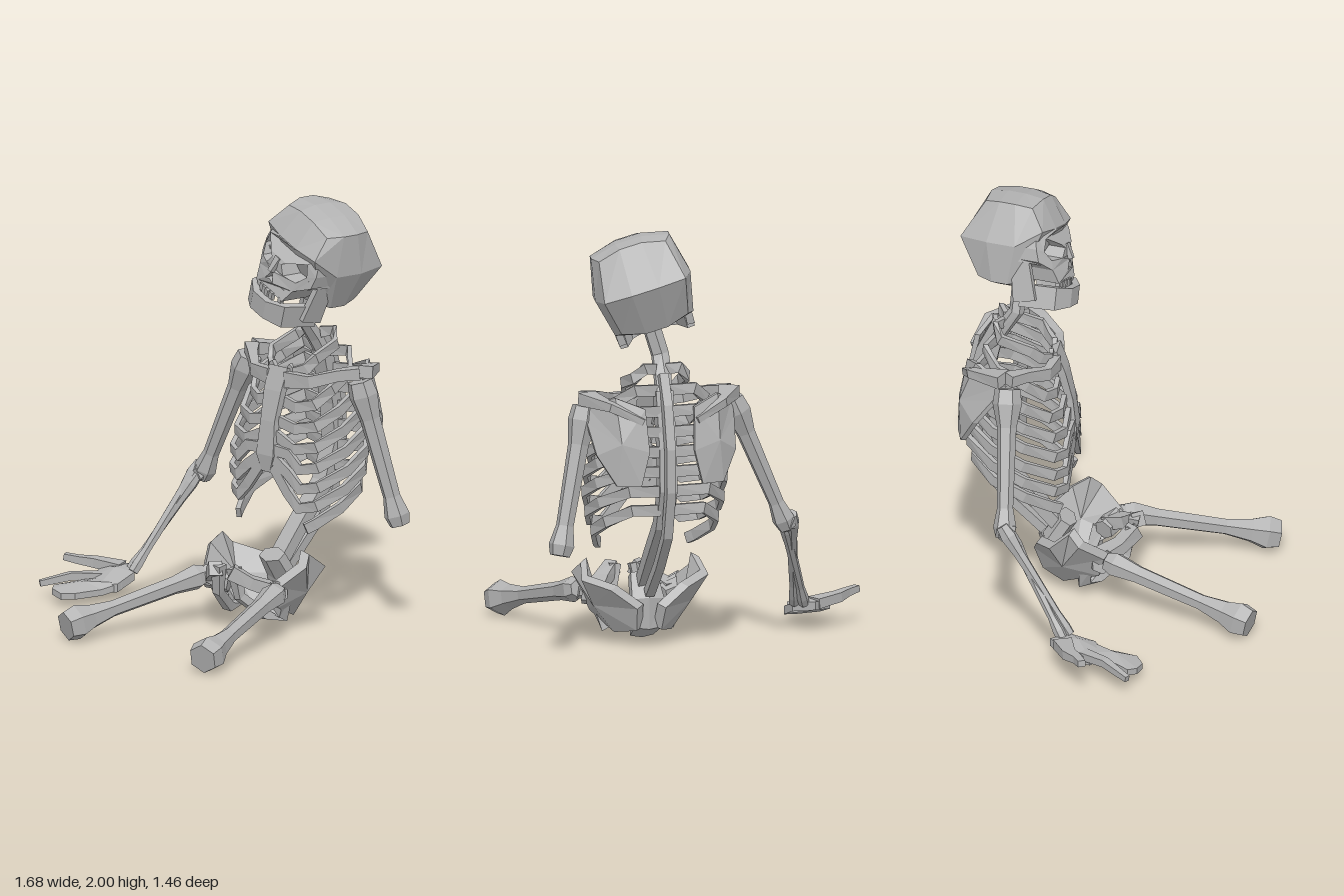
import * as THREE from 'three';

const V = (p) => new THREE.Vector3(...p);

export function createModel() {
  const root = new THREE.Group();
  root.name = 'sittingSkeleton';
  const boneGrey = new THREE.MeshStandardMaterial({ color: 0xb2b2b2 });
  boneGrey.name = 'bone grey';

  const add = (name, geo, parent = root) => {
    const g = geo.index ? geo.toNonIndexed() : geo;
    g.computeVertexNormals();
    const m = new THREE.Mesh(g, boneGrey);
    m.name = name;
    parent.add(m);
    return m;
  };
  const fromTriangles = (tris) => new THREE.BufferGeometry().setFromPoints(tris);

  // Faceted bone: points are [x, y, z, halfWidth, halfHeight]
  const bone = (pts, sides = 4, up = [0, 1, 0]) => {
    const P = pts.map((p) => V(p));
    const rings = P.map((p, i) => {
      const t = P[Math.min(i + 1, P.length - 1)].clone().sub(P[Math.max(i - 1, 0)]).normalize();
      const side = V(up).cross(t).normalize();
      const u = t.clone().cross(side);
      const k = sides === 4 ? Math.SQRT2 : 1;
      const [w, h = w] = pts[i].slice(3);
      return Array.from({ length: sides }, (_, j) => {
        const a = ((j + 0.5) / sides) * Math.PI * 2;
        return p.clone().addScaledVector(side, Math.cos(a) * w * k).addScaledVector(u, Math.sin(a) * h * k);
      });
    });
    const tris = [];
    const last = rings.length - 1;
    for (let j = 0; j < sides; j++) {
      const n = (j + 1) % sides;
      for (let i = 0; i < last; i++) {
        const a = rings[i], b = rings[i + 1];
        tris.push(a[j], a[n], b[n], a[j], b[n], b[j]);
      }
      tris.push(P[0], rings[0][n], rings[0][j], P[last], rings[last][j], rings[last][n]);
    }
    return fromTriangles(tris);
  };

  // Solid plate: a fan from a raised centre to its outline, thickened by an offset
  const plate = (outline, centre, offset) => {
    let o = outline.map(V);
    const c = V(centre), d = V(offset), n = new THREE.Vector3();
    o.forEach((p, i) => n.add(p.clone().sub(c).cross(o[(i + 1) % o.length].clone().sub(c))));
    if (n.dot(d) > 0) o = o.reverse();
    const tris = [];
    o.forEach((a, i) => {
      const b = o[(i + 1) % o.length];
      const a2 = a.clone().add(d), b2 = b.clone().add(d), c2 = c.clone().add(d);
      tris.push(c, a, b, c2, b2, a2, a, a2, b2, a, b2, b);
    });
    return fromTriangles(tris);
  };

  // ---------- Head, tilted and turned ----------
  const head = new THREE.Group();
  head.name = 'head';
  head.position.set(0.36, 1.765, -0.475);
  head.rotation.set(0, -0.2, -0.3);
  root.add(head);

  // Rounded block whose front slopes back below the brow
  const cranium = new THREE.BoxGeometry(2, 2, 2, 3, 2, 3);
  const cp = cranium.attributes.position;
  for (let i = 0; i < cp.count; i++) {
    const x = cp.getX(i), y = cp.getY(i), z = cp.getZ(i);
    const ax = Math.abs(x) > 0.9, ay = Math.abs(y) > 0.9, az = Math.abs(z) > 0.9;
    const front = z > 0.9;
    cp.setXYZ(i,
      x * 0.235 * (ay ? 0.82 : 1) * (az ? 0.85 : 1),
      y * 0.225 * (ax ? 0.86 : 1) * (az ? 0.94 : 1) + (front && !ay ? 0.085 : 0),
      z * 0.235 * (ay ? (front && y < 0 ? 0.4 : 0.55) : front ? 0.9 : 1) * (ax ? 0.9 : 1));
  }
  add('cranium', cranium, head);

  // Face plate with eye sockets and nose opening
  const face = new THREE.Shape([[-0.19, 0.085], [-0.21, 0.0], [-0.205, -0.06], [-0.14, -0.1], [-0.11, -0.165], [0.11, -0.165],
    [0.14, -0.1], [0.205, -0.06], [0.21, 0.0], [0.19, 0.085], [0.06, 0.085], [-0.06, 0.085]].map((p) => new THREE.Vector2(...p)));
  const hole = (pts) => face.holes.push(new THREE.Path(pts.map((p) => new THREE.Vector2(...p))));
  for (const s of [-1, 1]) hole([[s * 0.04, -0.005], [s * 0.065, 0.012], [s * 0.16, 0.05], [s * 0.175, -0.01], [s * 0.14, -0.055], [s * 0.07, -0.05]]);
  hole([[0, -0.06], [0.032, -0.11], [0, -0.1], [-0.032, -0.11]]);
  const faceGeo = new THREE.ExtrudeGeometry(face, { depth: 0.15, bevelEnabled: false });
  const fp = faceGeo.attributes.position;
  for (let i = 0; i < fp.count; i++) {
    const x = fp.getX(i), y = fp.getY(i);
    fp.setZ(i, fp.getZ(i) + 0.11 - y * 0.2 - x * x * 2 - Math.max(0, y - 0.05) * 0.5);
  }
  add('face', faceGeo, head);
  add('noseBridge', bone([[0, 0.01, 0.25, 0.018, 0.008], [0, -0.06, 0.28, 0.012, 0.012]], 4, [0, 0, 1]), head);
  add('palate', bone([[0, -0.13, 0.08, 0.1, 0.025], [0, -0.14, 0.25, 0.09, 0.02]]), head);

  for (let i = -3; i <= 3; i++) {
    if (i === 2) continue;
    const tooth = add('upperTooth', new THREE.BoxGeometry(0.024, 0.035, 0.02), head);
    tooth.position.set(i * 0.029, -0.177, 0.275 - Math.abs(i) * 0.006);
  }
  add('jaw', bone([[-0.165, -0.235, 0.1, 0.018, 0.055], [-0.125, -0.235, 0.26, 0.018, 0.055], [-0.05, -0.235, 0.3, 0.018, 0.045],
    [0.05, -0.235, 0.3, 0.018, 0.045], [0.125, -0.235, 0.26, 0.018, 0.055], [0.165, -0.235, 0.1, 0.018, 0.055]]), head);
  for (const s of [-1, 1]) {
    add('jawBranch', bone([[s * 0.18, -0.07, 0.09, 0.015, 0.045], [s * 0.168, -0.26, 0.13, 0.018, 0.055]], 4, [0, 0, 1]), head);
    add('cheekbone', bone([[s * 0.17, -0.05, 0.19, 0.018, 0.025], [s * 0.205, -0.05, 0.02, 0.012, 0.02]]), head);
  }

  // ---------- Torso, built around its own middle ----------
  const torso = new THREE.Group();
  torso.name = 'torso';
  torso.position.x = 0.28;
  root.add(torso);

  add('neck', bone([[0.03, 1.57, -0.45, 0.045, 0.038], [-0.015, 1.42, -0.46, 0.045, 0.036], [-0.01, 1.33, -0.52, 0.045, 0.036],
    [0, 1.24, -0.57, 0.042, 0.035]], 6, [0, 0, 1]), torso);
  add('spine', bone([[0, 1.26, -0.56], [0, 1.0, -0.62], [0, 0.8, -0.63], [0, 0.62, -0.56], [0, 0.46, -0.41], [0, 0.27, -0.24]]
    .map((p) => [...p, 0.042, 0.03]), 4, [0, 0, 1]), torso);
  add('spinousRidge', bone([[0, 1.34, -0.56], [0, 1.2, -0.63], [0, 1.0, -0.68], [0, 0.8, -0.685], [0, 0.58, -0.63], [0, 0.42, -0.5], [0, 0.26, -0.33]]
    .map((p) => [...p, 0.022, 0.022]), 4, [0, 0, 1]), torso);
  add('breastbone', bone([[0, 1.23, -0.28, 0.06, 0.018], [0, 1.12, -0.24, 0.055, 0.018], [0, 0.98, -0.205, 0.045, 0.016],
    [0, 0.82, -0.185, 0.055, 0.016], [0, 0.74, -0.19, 0.025, 0.012]], 4, [0, 0, 1]), torso);

  // Ribs: [half width, back z, front z], from the top down
  const ribs = [[0.14, -0.55, -0.29], [0.24, -0.59, -0.26], [0.285, -0.63, -0.23], [0.31, -0.65, -0.21],
    [0.33, -0.66, -0.2], [0.335, -0.665, -0.2], [0.32, -0.66, -0.2], [0.29, -0.64, -0.22]];
  for (const s of [-1, 1]) {
    ribs.forEach(([w, zb, zf], i) => {
      const y = 1.36 - i * 0.094, drop = i === 0 ? 0.13 : 0.19;
      const mid = (zb + zf) / 2;
      const pts = [[s * 0.03, y, zb + 0.03], [s * w * 0.6, y + 0.01, zb], [s * w * 0.93, y - drop * 0.3, mid - 0.1],
        [s * w, y - drop * 0.65, mid + 0.05], [s * w * 0.83, y - drop, zf - 0.04]];
      if (i < 4) pts.push([s * w * 0.5, y - drop - 0.02, zf], [s * 0.04, y - drop + (i > 2 ? 0.03 : 0), zf]);
      else if (i < 7) pts.push([s * w * 0.6, y - drop - 0.015, zf], [s * 0.13, y - drop + 0.05, zf + 0.005], [s * 0.04, 0.85 - (i - 4) * 0.04, -0.19]);
      else pts.push([s * w * 0.75, y - drop - 0.02, zf]);
      add('rib', bone(pts.map((p) => [...p, 0.012, 0.026])), torso);
    });

    // Shoulder girdle
    add('collarbone', bone([[s * 0.05, 1.18, -0.265, 0.022, 0.038], [s * 0.18, 1.185, -0.29, 0.02, 0.03],
      [s * 0.28, 1.22, -0.38, 0.024, 0.026], [s * 0.35, 1.23, -0.45, 0.035, 0.028]]), torso);
    add('shoulderBlade', plate([[s * 0.12, 1.2, -0.68], [s * 0.11, 1.0, -0.72], [s * 0.15, 0.84, -0.72], [s * 0.26, 0.84, -0.69],
      [s * 0.34, 0.98, -0.62], [s * 0.36, 1.12, -0.52], [s * 0.36, 1.2, -0.48], [s * 0.25, 1.25, -0.62]], [s * 0.24, 1.04, -0.7], [0, 0, 0.025]), torso);
    add('shoulderBladeRidge', bone([[s * 0.13, 1.14, -0.69, 0.012, 0.015], [s * 0.27, 1.21, -0.64, 0.02, 0.02],
      [s * 0.35, 1.23, -0.47, 0.05, 0.03]]), torso);

    // Hip bone: wing, pubic bar and ischium loop
    add('hipWing', plate([[s * 0.32, 0.34, -0.12], [s * 0.29, 0.39, -0.17], [s * 0.31, 0.32, -0.26], [s * 0.19, 0.28, -0.34], [s * 0.07, 0.19, -0.37],
      [s * 0.06, 0.08, -0.33], [s * 0.14, 0.06, -0.22], [s * 0.21, 0.14, -0.04], [s * 0.25, 0.25, -0.01]],
      [s * 0.24, 0.19, -0.21], [-s * 0.035, 0.02, 0.02]), torso);
    add('hipSocket', bone([[s * 0.13, 0.2, -0.07, 0.05], [s * 0.23, 0.22, -0.02, 0.055]], 6), torso);
    add('pubicBar', bone([[s * 0.19, 0.22, -0.05, 0.05, 0.032], [s * 0.12, 0.265, 0.05, 0.036, 0.028], [s * 0.05, 0.315, 0.11, 0.032, 0.035]]), torso);
    add('sitBone', bone([[s * 0.05, 0.33, 0.09, 0.025, 0.028], [s * 0.07, 0.19, 0.07, 0.02], [s * 0.12, 0.09, -0.05, 0.022],
      [s * 0.15, 0.08, -0.12, 0.03], [s * 0.19, 0.19, -0.1, 0.03]], 4, [1, 0, 0]), torso);
  }
  add('sacrum', bone([[0, 0.33, -0.22, 0.075, 0.05], [0, 0.22, -0.29, 0.09, 0.05], [0, 0.1, -0.3, 0.08, 0.035],
    [0, 0.045, -0.2, 0.065, 0.02], [0, 0.06, -0.08, 0.012, 0.01]], 6, [0, 0.4, 1]), torso);

  // ---------- Arms ----------
  const limb = (name, a, b, radii, stops, up) => {
    const A = V(a), B = V(b);
    return add(name, bone(stops.map((t, i) => [...A.clone().lerp(B, t).toArray(), radii[i]]), 6, up));
  };
  const armStops = [0, 0.1, 0.26, 0.8, 0.93, 1];
  limb('rightUpperArm', [-0.085, 1.19, -0.45], [-0.37, 0.55, -0.42], [0.06, 0.07, 0.046, 0.038, 0.055, 0.042], armStops, [0, 0, 1]);
  limb('leftUpperArm', [0.63, 1.19, -0.45], [0.785, 0.5, -0.56], [0.06, 0.07, 0.05, 0.042, 0.062, 0.048], armStops, [0, 0, 1]);
  limb('rightElbow', [-0.33, 0.6, -0.43], [-0.4, 0.56, -0.4], [0.03, 0.055, 0.03], [0, 0.5, 1]);
  limb('rightUlna', [-0.385, 0.62, -0.43], [-0.5, 0.13, -0.09], [0.03, 0.04, 0.028, 0.022, 0.028, 0.026], armStops);
  limb('rightRadius', [-0.365, 0.57, -0.39], [-0.54, 0.13, -0.12], [0.025, 0.03, 0.024, 0.02, 0.028, 0.026], armStops);

  // Right hand resting on the ground
  add('rightPalm', plate([[-0.58, 0.145, -0.17], [-0.49, 0.13, -0.09], [-0.485, 0.095, 0.03], [-0.56, 0.085, 0.08],
    [-0.66, 0.1, 0.03], [-0.68, 0.13, -0.07]], [-0.57, 0.15, -0.04], [0, -0.04, 0]));
  add('rightFingers', plate([[-0.485, 0.095, 0.0], [-0.52, 0.075, 0.1], [-0.56, 0.075, 0.24], [-0.62, 0.07, 0.275], [-0.69, 0.08, 0.26],
    [-0.72, 0.085, 0.22], [-0.65, 0.1, 0.1], [-0.61, 0.1, 0.0]], [-0.6, 0.11, 0.14], [0, -0.03, 0]));
  add('rightIndexFinger', bone([[-0.62, 0.1, -0.02, 0.028, 0.02], [-0.71, 0.11, 0.11, 0.02, 0.018], [-0.8, 0.08, 0.23, 0.013, 0.014]]));
  add('rightThumb', bone([[-0.59, 0.13, -0.11, 0.045, 0.024], [-0.72, 0.145, -0.06, 0.03, 0.022], [-0.78, 0.155, -0.01, 0.02, 0.018],
    [-0.84, 0.165, 0.02, 0.018, 0.015]]));

  // ---------- Thighs stretched forward ----------
  const thigh = (name, hip, top, knee) => {
    limb(name, top, knee, [0.045, 0.062, 0.045, 0.04, 0.06, 0.086, 0.072], [0, 0.06, 0.22, 0.66, 0.82, 0.92, 1]);
    limb(name + 'Neck', hip, top, [0.045, 0.04, 0.05], [0, 0.5, 1]);
  };
  thigh('rightThigh', [0.13, 0.22, -0.01], [0.05, 0.235, 0.0], [-0.165, 0.075, 0.715]);
  thigh('leftThigh', [0.45, 0.22, -0.01], [0.53, 0.235, 0.0], [0.725, 0.075, 0.715]);

  return root;
}
